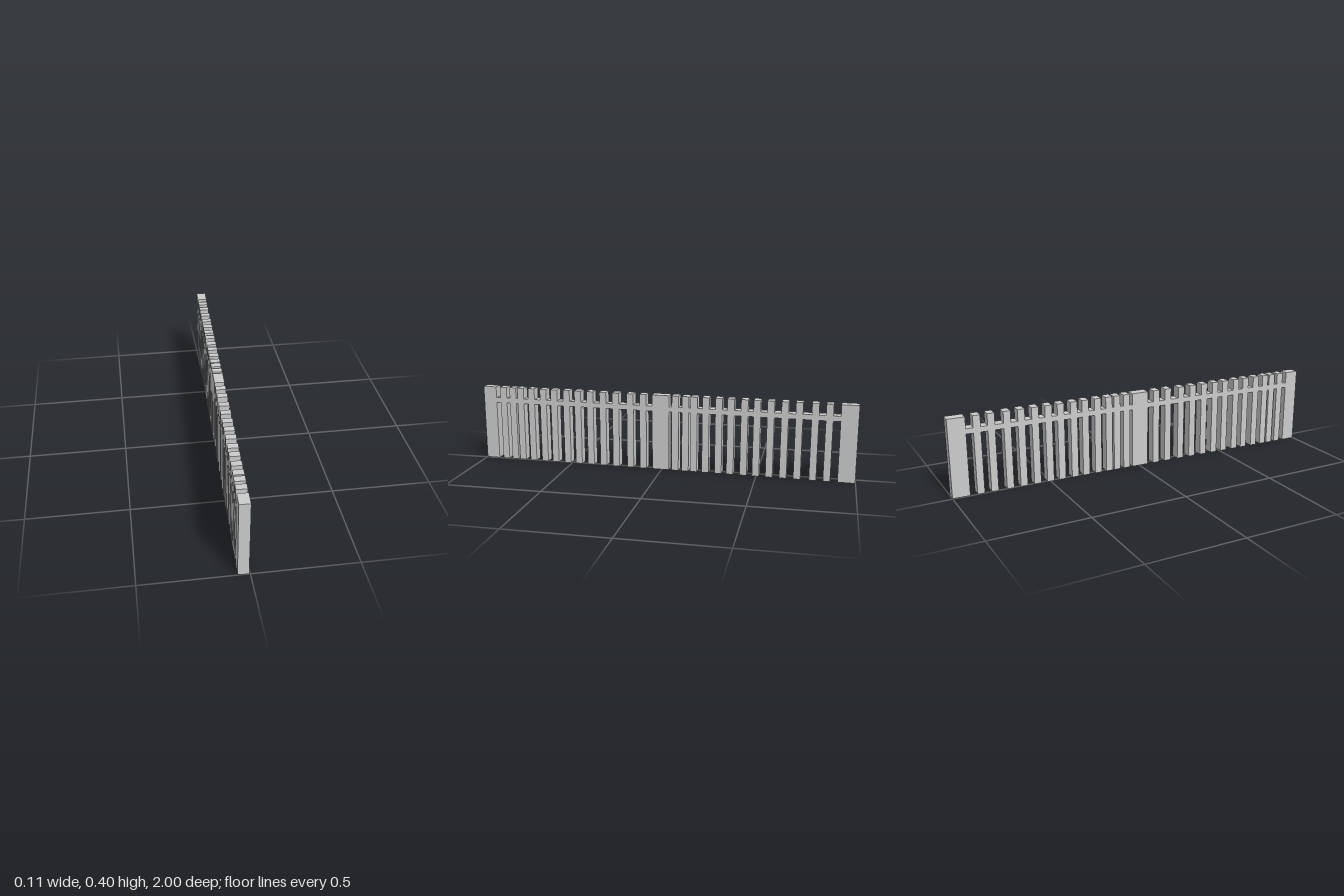
import * as THREE from 'three';

const HEIGHT = 0.4, DEPTH = 0.052, SLAT = 0.036;
const PANEL_STEP = 0.958;
const SLAT_CENTRES = [0.885, 0.831, 0.786, 0.724, 0.656, 0.594, 0.524, 0.46, 0.391, 0.32, 0.249, 0.17, 0.1];

export function createModel() {
  const fence = new THREE.Group();
  fence.name = 'fence';
  const material = new THREE.MeshStandardMaterial({ color: 0xcccccc, flatShading: true });

  // a block between two z positions and two heights
  const block = (name, z0, z1, y0 = 0, y1 = HEIGHT) => {
    const mesh = new THREE.Mesh(new THREE.BoxGeometry(DEPTH, y1 - y0, z1 - z0), material);
    mesh.position.set(0, (y0 + y1) / 2, (z0 + z1) / 2);
    mesh.name = name;
    fence.add(mesh);
  };

  // thick posts at the ends and the middle
  block('frontPost', 0.927, 0.9995);
  block('middlePost', -0.04, 0.05);
  block('backPost', -0.9995, -0.912);

  // two panels with the same uneven spacing, each with slats and a flush rail
  for (let panel = 0; panel < 2; panel++) {
    const shift = -panel * PANEL_STEP;
    SLAT_CENTRES.forEach((z, i) => {
      block(`panel${panel + 1}Slat${i + 1}`, z + shift - SLAT / 2, z + shift + SLAT / 2);
    });
    // rail pieces fill only the gaps, so no faces overlap
    const starts = SLAT_CENTRES.map((z) => z + shift + SLAT / 2);
    const ends = SLAT_CENTRES.map((z) => z + shift - SLAT / 2);
    const tops = [panel ? -0.04 : 0.927, ...ends];
    const bottoms = [...starts, panel ? -0.912 : 0.05];
    tops.forEach((top, i) => block(`panel${panel + 1}Rail${i + 1}`, bottoms[i], top, 0.314, 0.341));
  }

  // the whole run stands slightly askew
  fence.rotation.y = -0.031;
  const model = new THREE.Group();
  model.name = 'picketFence';
  model.add(fence);
  return model;
}
